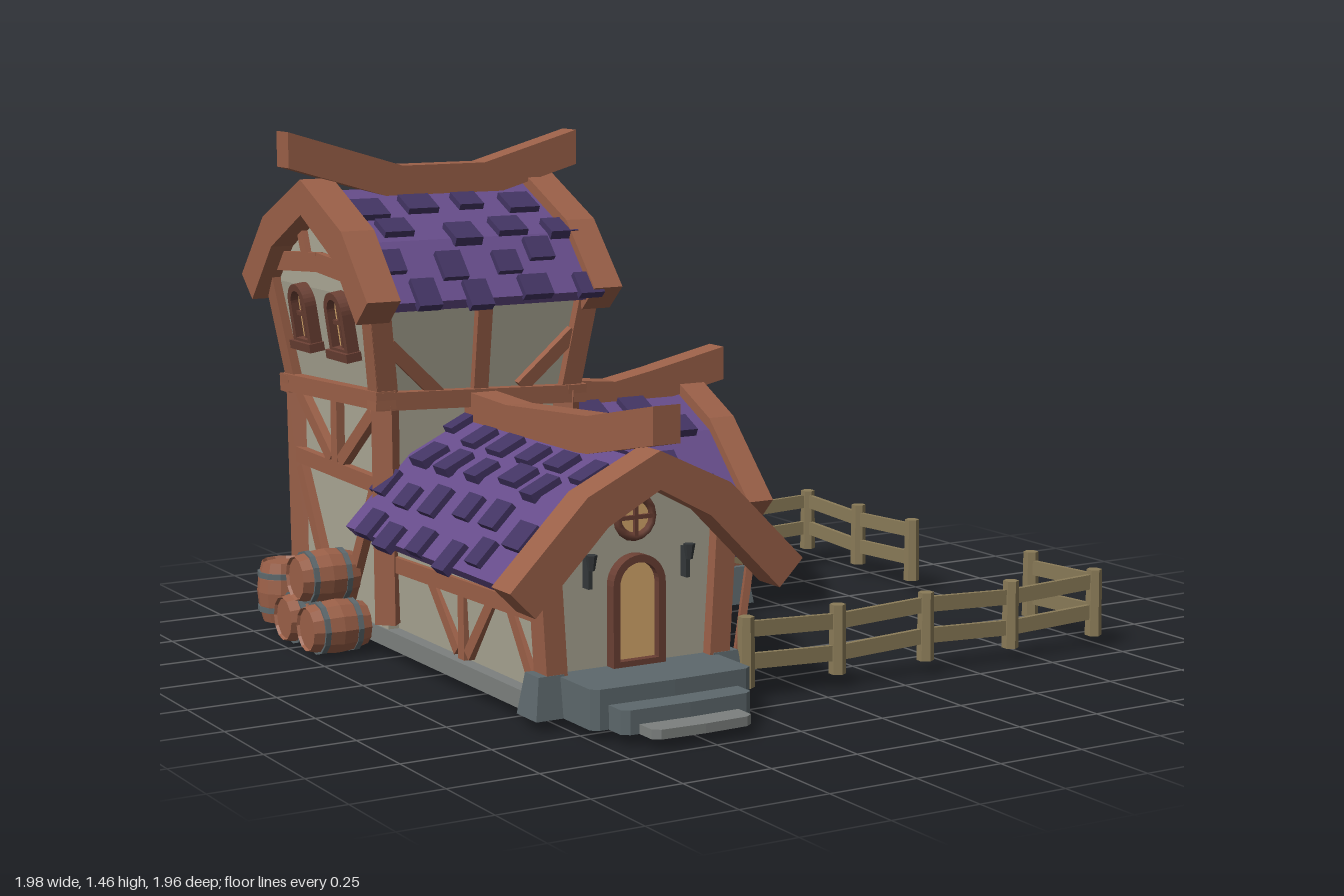
import * as THREE from 'three';
import { ConvexGeometry } from 'three/addons/geometries/ConvexGeometry.js';

const paint = (name, color) => Object.assign(new THREE.MeshStandardMaterial({ color }), { name });
const WALL = paint('plaster', 0xa9a593), TIMBER = paint('timber', 0x9b6048), DARK = paint('darkTimber', 0x6b4034),
  ROOF = paint('roofPurple', 0x664c8a), TILE = paint('tilePurple', 0x433463), STONE = paint('stone', 0x5d686c),
  PALE = paint('paleStone', 0x7c807e), PLANK = paint('weatheredPlank', 0x8a7b58), GLOW = paint('warmGlow', 0xd8aa6c),
  IRON = paint('iron', 0x34383a);

let seed = 7;
const rnd = () => (seed = (seed * 16807) % 2147483647) / 2147483647;
const V = (x, y, z) => new THREE.Vector3(x, y, z);

function add(parent, name, geo, mat, x = 0, y = 0, z = 0) {
  const m = new THREE.Mesh(geo, mat);
  m.name = name;
  m.position.set(x, y, z);
  parent.add(m);
  return m;
}
function sub(parent, name, x = 0, y = 0, z = 0, ry = 0, tilt = 0) {
  const g = new THREE.Group();
  g.name = name;
  g.position.set(x, y, z);
  g.rotation.set(tilt, ry, 0, 'YXZ');
  parent.add(g);
  return g;
}
const box = (p, name, mat, w, h, d, x, y, z) => add(p, name, new THREE.BoxGeometry(w, h, d), mat, x, y, z);
const poly = pts => new THREE.Shape(pts.map(p => new THREE.Vector2(p[0], p[1])));
const extrude = (shape, depth) => new THREE.ExtrudeGeometry(shape, { depth, bevelEnabled: false, curveSegments: 8 });
function flat(geo) {
  const g = geo.toNonIndexed();
  g.computeVertexNormals();
  return g;
}
// Timber lying on the xy plane of a wall face
function bar(p, x1, y1, x2, y2, w = 0.045, d = 0.04, mat = TIMBER) {
  const m = box(p, 'timber', mat, Math.hypot(x2 - x1, y2 - y1), w, d, (x1 + x2) / 2, (y1 + y2) / 2, 0);
  m.rotation.z = Math.atan2(y2 - y1, x2 - x1);
}
// Free beam between two points of its parent
function beam(p, name, a, b, w, h, mat) {
  const m = new THREE.Mesh(new THREE.BoxGeometry(w, h, a.distanceTo(b)), mat);
  m.name = name;
  m.position.copy(a).lerp(b, 0.5);
  m.lookAt(b);
  p.add(m);
}

// Symmetrical band following half a gable profile, cut square at the eaves
function band(profile, lift, t) {
  const n = profile.length - 1;
  const outer = profile.map(([u, y]) => [u, y + lift]);
  const inner = outer.map(([u, y], i) => {
    const a = outer[Math.max(i - 1, 0)], b = outer[Math.min(i + 1, n)];
    const len = Math.hypot(b[0] - a[0], b[1] - a[1]);
    return i ? [u + (b[1] - a[1]) / len * t, y - (b[0] - a[0]) / len * t] : [0, y - t];
  });
  const mirror = pts => pts.slice(1).reverse().map(([u, y]) => [-u, y]);
  return poly([...mirror(outer), ...outer, ...[...mirror(inner), ...inner].reverse()]);
}

// Gable roof with its ridge along local z
function roof(parent, name, profile, z0, z1, barges, ridge) {
  const g = sub(parent, name);
  add(g, 'roofSlab', extrude(band(profile, 0, 0.04), z1 - z0), ROOF, 0, 0, z0);
  const last = profile.length - 1;
  const [u0, y0] = profile[last - 1], [u1, y1] = profile[last];
  const long = [...profile.slice(0, last), [u1 + (u1 - u0) * 0.16, y1 + (y1 - y0) * 0.16]];
  for (const [a, b] of barges) add(g, 'bargeBoard', extrude(band(long, 0.035, 0.1), b - a), TIMBER, 0, 0, a);
  // Swept ridge beam
  const geo = extrude(poly([...ridge, ...ridge.slice().reverse().map(([z, y]) => [z, y - 0.1])]), 0.08);
  geo.translate(0, 0, -0.04).rotateY(-Math.PI / 2);
  add(g, 'ridgeBeam', geo, TIMBER);
  // Scattered raised tiles
  for (const s of [-1, 1]) for (let k = 0; k < last; k++) for (const t of [0.4, 0.87]) {
    const [ua, ya] = profile[k], [ub, yb] = profile[k + 1];
    const start = z0 + 0.05 + (t > 0.5 ? 0.075 : 0);
    for (let z = start; z < z1 - 0.03; z += 0.16) {
      const f = t + (rnd() - 0.5) * 0.22;
      const m = box(g, 'tile', TILE, 0.07 + rnd() * 0.025, 0.026, 0.065 + rnd() * 0.03,
        s * (ua + (ub - ua) * f), ya + (yb - ya) * f + 0.006, z + (rnd() - 0.5) * 0.05);
      m.rotation.z = Math.atan2((yb - ya) * s, ub - ua);
    }
  }
}

function archShape(w, h, Kind = THREE.Shape) {
  const s = new Kind();
  s.moveTo(-w / 2, 0);
  s.lineTo(w / 2, 0);
  s.lineTo(w / 2, h - w / 2);
  s.absarc(0, h - w / 2, w / 2, 0, Math.PI, false);
  s.lineTo(-w / 2, 0);
  return s;
}
function arch(parent, name, x, y, w, h, isWindow) {
  const g = sub(parent, name, x, y, 0);
  const frame = archShape(w, h);
  const hole = archShape(w - 0.04, h - 0.04, THREE.Path);
  frame.holes.push(new THREE.Path(hole.getPoints(8).map(p => p.add(new THREE.Vector2(0, 0.02)))));
  add(g, 'frame', extrude(frame, 0.045), DARK, 0, 0, -0.01);
  add(g, 'pane', extrude(archShape(w - 0.02, h - 0.02), 0.008), GLOW, 0, 0.01, 0.003);
  if (!isWindow) return;
  box(g, 'mullion', DARK, 0.012, h - 0.02, 0.02, 0, h / 2, 0.012);
  box(g, 'crossBar', DARK, w - 0.02, 0.012, 0.02, 0, h * 0.5, 0.012);
  box(g, 'sill', DARK, w + 0.02, 0.025, 0.06, 0, 0, 0.015);
}
function sconce(parent, x, y) {
  const g = sub(parent, 'sconce', x, y, 0.02);
  box(g, 'bracket', IRON, 0.012, 0.08, 0.03, 0, -0.01, 0);
  add(g, 'cup', flat(new THREE.CylinderGeometry(0.016, 0.009, 0.04, 6)), IRON, 0, 0.02, 0.02);
}

function fence(parent, pts) {
  const g = sub(parent, 'fence');
  pts.forEach(([x, z], i) => {
    add(g, 'fencePost', flat(new THREE.CylinderGeometry(0.022, 0.024, 0.19, 6)), PLANK, x, 0.132, z);
    if (!i) return;
    const [px, pz] = pts[i - 1], j = (i % 2 - 0.5) * 0.012;
    for (const y of [0.1, 0.187]) beam(g, 'fenceRail', V(px, y + j, pz), V(x, y - j, z), 0.014, 0.042, PLANK);
  });
}

function barrel(parent, x, y, z, lying) {
  const g = sub(parent, 'barrel', x, y, z);
  if (lying) g.rotation.z = Math.PI / 2;
  const pts = [[0, -0.08], [0.058, -0.08], [0.062, -0.088], [0.074, -0.04], [0.078, 0], [0.074, 0.04], [0.062, 0.088], [0.058, 0.08], [0, 0.08]];
  add(g, 'staves', flat(new THREE.LatheGeometry(pts.map(p => new THREE.Vector2(...p)), 12)), TIMBER);
  for (const h of [-0.05, 0.05]) add(g, 'hoop', flat(new THREE.CylinderGeometry(0.076, 0.076, 0.016, 12)), STONE, 0, h, 0);
}

export function createModel() {
  const model = new THREE.Group();
  model.name = 'cottage';
  const CX = -0.52, CZ = -0.54, H = Math.PI / 2;

  // Foundation, corner stones and entrance steps
  for (const [w, d, x, z] of [[0.58, 1.5, CX, -0.11], [0.62, 0.59, 0.04, -0.55]])
    box(model, 'foundation', PALE, w, 0.05, d, x, 0.058, z);
  for (const [x, z] of [[-0.78, 0.62], [-0.26, 0.62], [-0.8, -0.81], [-0.22, -0.81], [0.33, -0.27], [0.33, -0.81]])
    add(model, 'cornerStone', flat(new THREE.CylinderGeometry(0.052, 0.075, 0.11, 4).rotateY(Math.PI / 4)), STONE, x, 0.085, z);
  [[0.47, 0.83, 0.135], [0.38, 0.905, 0.093], [0.29, 0.98, 0.055]].forEach(([w, z, y], i) => {
    const s = poly([[-w / 2, -0.58], [-w / 2, -z + 0.02], [-w / 2 + 0.02, -z + 0.005], [0, -z], [w / 2 - 0.02, -z + 0.005], [w / 2, -z + 0.02], [w / 2, -0.58]]);
    add(model, 'step', extrude(s, y - 0.03).rotateX(-H), i === 2 ? PALE : STONE, CX, 0.03, 0);
  });

  // Plaster walls: [half width, y] sections run along the ridge
  const hall = (parent, name, sec, z0, z1) => add(parent, name, new ConvexGeometry(
    sec.flatMap(([u, y]) => [V(u, y, z0), V(-u, y, z0), V(u, y, z1), V(-u, y, z1)])), WALL);
  const front = sub(model, 'frontWing', CX);
  const side = sub(model, 'sideWing', 0, 0, CZ, H);
  const tower = sub(model, 'tower', CX, 0, CZ);
  const wingSec = [[0.25, 0.05], [0.268, 0.44], [0.2, 0.52], [0, 0.61]];
  hall(front, 'frontWalls', wingSec, -0.3, 0.62);
  hall(side, 'sideWalls', wingSec.map(([u, y]) => [u + (u > 0 ? 0.012 : 0), y - 0.01]), -0.3, 0.33);
  box(tower, 'towerBase', WALL, 0.57, 0.68, 0.58, 0, 0.39, 0);
  const upper = [];
  for (const a of [-1, 1]) for (const b of [-1, 1])
    upper.push(V(a * 0.29, 0.72, b * 0.29), V(a * 0.335, 1.01, b * 0.33), V(a * 0.33, 1.11, b * 0.27), V(a * 0.33, 1.25, 0));
  add(tower, 'towerUpper', new ConvexGeometry(upper), WALL);

  // Roofs
  const wingRoof = [[0, 0.675], [0.21, 0.575], [0.4, 0.385]];
  roof(front, 'frontRoof', wingRoof, -0.27, 0.68, [[0.66, 0.76]],
    [[-0.3, 0.74], [0, 0.73], [0.45, 0.76], [0.79, 0.83]]);
  roof(side, 'sideRoof', wingRoof.map(([u, y]) => [u, y - 0.03]), -0.25, 0.31, [[-0.28, -0.2], [0.295, 0.38]],
    [[-0.3, 0.72], [0.07, 0.685], [0.2, 0.71], [0.45, 0.765]]);
  const towerRoof = sub(tower, 'towerRoofFrame', 0, 0, 0, H);
  roof(towerRoof, 'towerRoof', [[0, 1.29], [0.27, 1.165], [0.41, 1.01]], -0.32, 0.32, [[-0.4, -0.3], [0.3, 0.39]],
    [[-0.45, 1.46], [-0.1, 1.355], [0.16, 1.355], [0.46, 1.44]]);
  beam(model, 'valleyBeam', V(-0.31, 0.58, -0.33), V(-0.12, 0.375, -0.13), 0.05, 0.04, PLANK);

  // Tower upper timbers and windows
  for (let i = 0; i < 4; i++) {
    const f = sub(tower, 'upperFace', 0, 0.72, 0, i * H);
    const t = sub(f, 'leaningFace', 0, 0, 0.292, 0, 0.145);
    for (const s of [-1, 1]) bar(t, s * 0.285, 0, s * 0.33, 0.31, 0.06, 0.05);
    const belt = sub(f, 'belt', 0, 0, 0.3);
    bar(belt, -0.33, i % 2 ? -0.01 : 0.012, 0.33, i % 2 ? 0.015 : -0.012, 0.05, 0.06);
    if (i % 2) {
      for (const s of [-1, 1]) arch(t, 'towerWindow', s * 0.125, 0.125, 0.12, 0.18, true);
      const gable = sub(f, 'gableTimbers', 0, 0, 0.335);
      bar(gable, -0.29, 0.35, 0, 0.37, 0.055);
      bar(gable, 0.29, 0.35, 0, 0.37, 0.055);
      for (const s of [-1, 1]) bar(gable, s * 0.09, 0.37, s * 0.14, 0.48, 0.035, 0.03);
    } else {
      bar(t, 0, 0, 0, 0.3, 0.045);
      for (const s of [-1, 1]) bar(t, s * 0.13, 0.02, s * 0.29, 0.17, 0.04);
    }
  }
  // Tower lower timbers and back windows
  for (const [x, z] of [[-1, -1], [1, -1], [-1, 1], [1, 1]])
    beam(tower, 'towerPost', V(x * 0.28, 0.1, z * 0.285), V(x * 0.285, 0.72, z * 0.29), 0.06, 0.06, TIMBER);
  for (const i of [2, 3]) {
    const f = sub(sub(tower, 'lowerSide', 0, 0, 0, i * H), 'lowerFace', 0, 0, 0.29);
    bar(f, -0.28, 0.5, 0.28, 0.49);
    bar(f, 0, 0.5, 0, 0.7, 0.04);
    for (const s of [-1, 1]) {
      bar(f, s * 0.03, 0.52, s * 0.25, 0.69, 0.04);
      if (i === 2) arch(f, 'lowerWindow', s * 0.13, 0.21, 0.12, 0.18, true);
      else bar(f, s * 0.04, 0.1, s * 0.25, 0.47, 0.04);
    }
  }

  // Front wing timbers and entrance
  const face = sub(front, 'frontFace', 0, 0, 0.62);
  for (const s of [-1, 1]) {
    bar(face, s * 0.24, 0.1, s * 0.262, 0.47, 0.06, 0.07);
    sconce(face, s * 0.145, 0.4);
    const w = sub(front, 'longWall', s * 0.255, 0, 0.18, s * H);
    const q = x => -s * x; // +x runs towards the front
    bar(w, q(-0.42), 0.27, q(0.42), 0.29);
    for (const [a, b, c, d] of [[0.39, 0.1, 0.27, 0.27], [0.16, 0.27, 0.02, 0.1], [-0.04, 0.1, -0.2, 0.27], [-0.01, 0.06, -0.01, 0.27]])
      bar(w, q(a), b, q(c), d, 0.035, 0.03);
  }
  arch(face, 'frontDoor', 0, 0.13, 0.155, 0.295, false);
  const round = sub(face, 'roundWindow', 0, 0.52, 0.01);
  add(round, 'ring', new THREE.TorusGeometry(0.052, 0.012, 6, 16), DARK);
  add(round, 'pane', new THREE.CircleGeometry(0.05, 16), GLOW, 0, 0, 0.001);
  box(round, 'mullion', DARK, 0.011, 0.1, 0.015, 0, 0, 0.003);
  box(round, 'crossBar', DARK, 0.1, 0.011, 0.015, 0, 0, 0.003);

  // Side wing timbers and plank door
  const end = sub(side, 'sideFace', 0, 0, 0.33);
  for (const s of [-1, 1]) {
    bar(end, s * 0.255, 0.1, s * 0.275, 0.45, 0.06, 0.07);
    bar(end, s * 0.125, 0.035, s * 0.125, 0.425, 0.025, 0.05, DARK);
    const w = sub(side, 'sideLongWall', s * 0.27, 0, 0.06, s * H);
    bar(w, -0.26, 0.275, 0.26, 0.285);
    for (const t of [-1, 1]) bar(w, t * 0.05, 0.27, t * 0.22, 0.08, 0.04, 0.03);
    bar(w, 0, 0.06, 0, 0.27, 0.04, 0.03);
  }
  bar(end, -0.137, 0.415, 0.137, 0.415, 0.025, 0.05, DARK);
  box(end, 'sideDoor', GLOW, 0.235, 0.375, 0.009, 0, 0.222, 0.01);
  sconce(end, -0.01, 0.5);

  // Lean-to awning on thin poles
  const rim = [[-0.24, -0.13, 0.37], [0.06, -0.145, 0.305], [0.095, -0.1, 0.295], [0.085, 0.08, 0.31], [0.06, 0.27, 0.295], [0.03, 0.31, 0.295], [-0.24, 0.28, 0.365]];
  add(model, 'awning', new ConvexGeometry(rim.flatMap(([x, z, y]) => [V(x, y, z), V(x, y - 0.02, z)])), PLANK);
  beam(model, 'awningPole', V(0.02, 0.03, 0.27), V(0.055, 0.3, 0.28), 0.02, 0.02, TIMBER);
  beam(model, 'awningPole', V(0.02, 0.03, -0.08), V(0.06, 0.3, -0.09), 0.02, 0.02, TIMBER);

  // Fences and barrels
  fence(model, [[-0.2, 0.66], [0.09, 0.66], [0.38, 0.66], [0.67, 0.66], [0.965, 0.66], [0.965, 0.37]]);
  fence(model, [[0.38, -0.795], [0.67, -0.795], [0.955, -0.79], [0.955, -0.5], [0.955, -0.21]]);
  barrel(model, -0.91, 0.08, -0.38, true);
  barrel(model, -0.91, 0.08, -0.54, true);
  barrel(model, -0.905, 0.21, -0.46, true);
  barrel(model, -0.915, 0.122, -0.72, false);
  return model;
}
